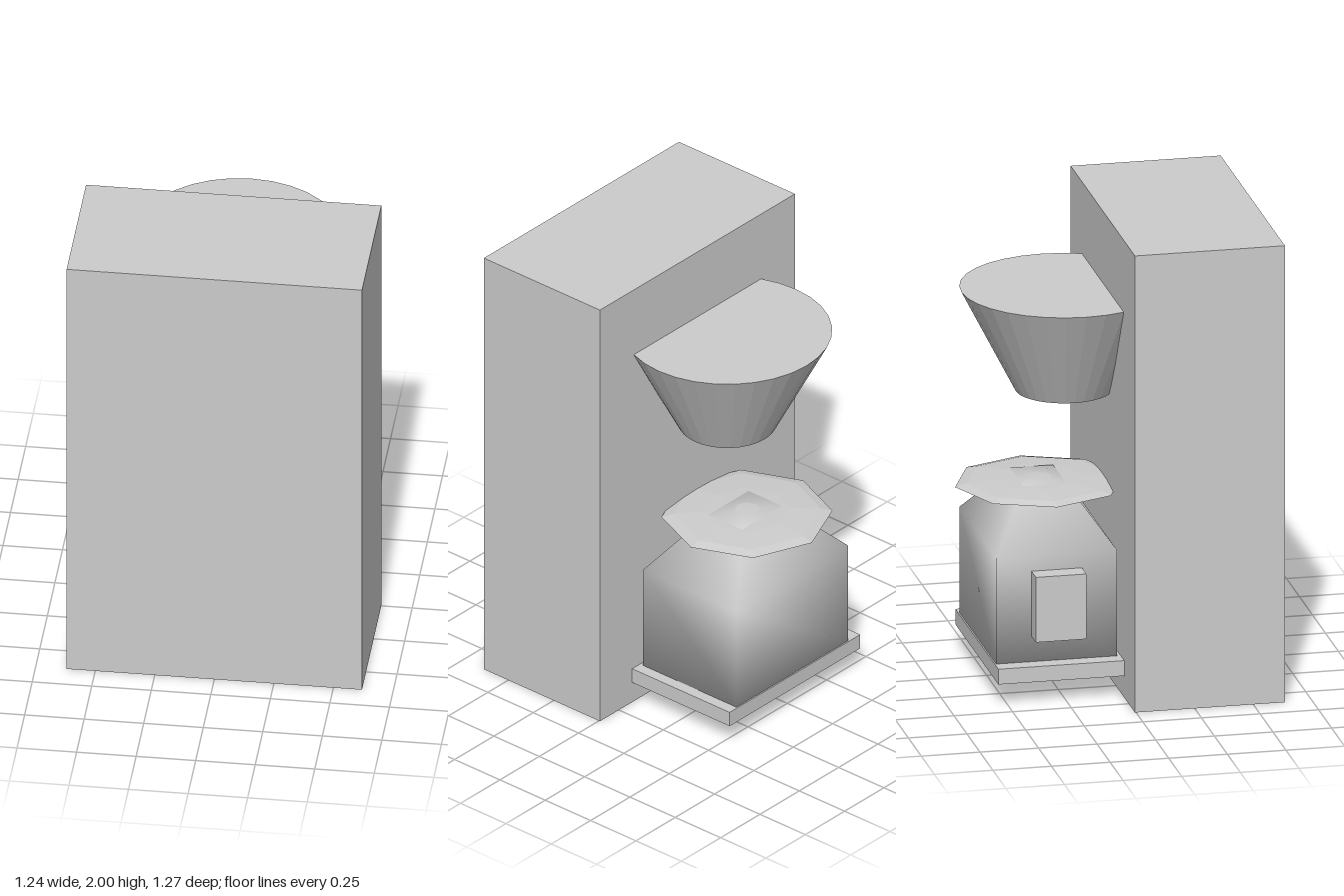
import * as THREE from 'three';

export function createModel() {
  const group = new THREE.Group();
  const flat = new THREE.MeshStandardMaterial({ color: 0xcccccc, flatShading: true });
  const smooth = new THREE.MeshStandardMaterial({ color: 0xcccccc });
  const open = new THREE.MeshStandardMaterial({ color: 0xcccccc, flatShading: true, side: THREE.DoubleSide });

  function add(name, geometry, material = flat) {
    const mesh = new THREE.Mesh(geometry, material);
    mesh.name = name;
    group.add(mesh);
    return mesh;
  }

  // Box given by its lowest and highest corners
  function addBox(name, [x0, y0, z0], [x1, y1, z1]) {
    add(name, new THREE.BoxGeometry(x1 - x0, y1 - y0, z1 - z0))
      .position.set((x0 + x1) / 2, (y0 + y1) / 2, (z0 + z1) / 2);
  }

  // Profile of [radius, height] pairs, bottom to top
  function lathe(profile, sides, start = 0) {
    return new THREE.LatheGeometry(profile.map(([r, y]) => new THREE.Vector2(r, y)), sides, start);
  }

  // Tall cabinet
  addBox('cabinet', [-0.62, 0, -0.005], [0.62, 2, 0.635]);

  // Filter funnel: closed on top, open below, half sunk into the cabinet
  add('funnel', lathe([[0.205, 1.235], [0.437, 1.685], [0, 1.685]], 32), open)
    .position.z = -0.17;

  // Plate under the jug
  addBox('basePlate', [-0.415, 0.095, -0.542], [0.415, 0.162, 0.005]);

  // Four-sided jug with tapered shoulders and softly shaded edges
  const r = Math.SQRT2;
  const jug = add('jugBody',
    lathe([[0, 0.162], [r, 0.162], [r, 0.625], [0.35 * r, 0.858], [0, 0.858]], 4, Math.PI / 4), smooth);
  jug.scale.set(0.355, 1, 0.258);
  jug.position.set(0.01, 0, -0.278);

  // Thin eight-sided lid around the top of the jug
  const lid = add('jugLid', new THREE.SphereGeometry(0.357, 8, 6));
  lid.scale.y = 0.07;
  lid.position.set(0, 0.834, -0.278);

  // Jug handle
  addBox('jugHandle', [-0.43, 0.273, -0.385], [-0.335, 0.558, -0.17]);

  return group;
}
